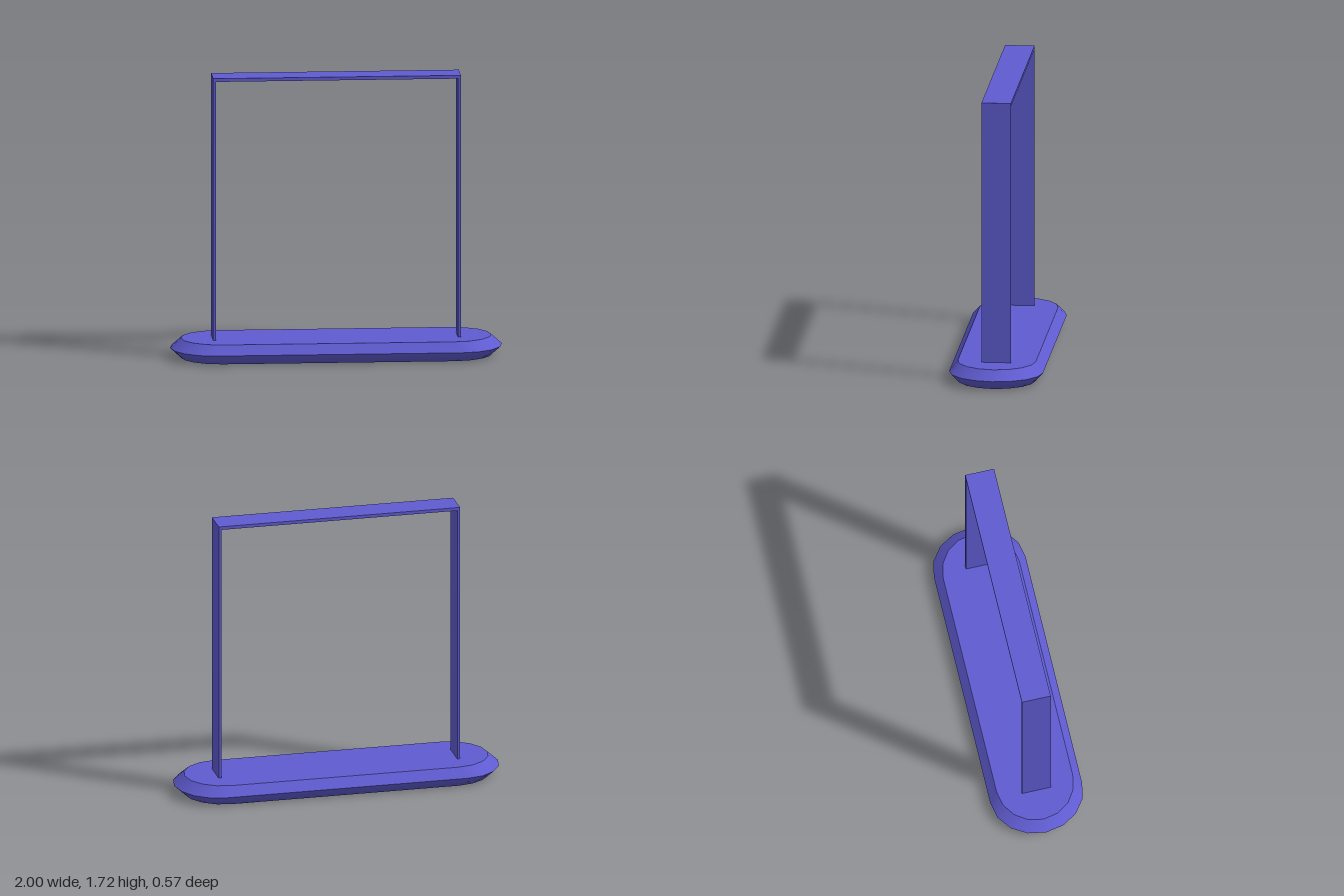
import * as THREE from 'three';

const material = new THREE.MeshStandardMaterial({ color: 0x5f5bd0 });

// Stadium-shaped ring: two half ellipses centred at x = +-cx
function ring(y, cx, rx, rz) {
  const points = [];
  for (const side of [0, 1]) {
    for (let i = 0; i <= 8; i++) {
      const a = -Math.PI / 2 + side * Math.PI + (i * Math.PI) / 8;
      points.push([(side ? -cx : cx) + rx * Math.cos(a), y, rz * Math.sin(a)]);
    }
  }
  return points;
}

// Smooth skin through rings ordered so that the surface faces outward
function skin(name, rings) {
  const n = rings[0].length;
  const index = [];
  for (let r = 0; r < rings.length - 1; r++) {
    for (let i = 0; i < n; i++) {
      const a = r * n + i;
      const b = r * n + ((i + 1) % n);
      index.push(a, a + n, b, b, a + n, b + n);
    }
  }
  const geometry = new THREE.BufferGeometry();
  geometry.setAttribute('position', new THREE.Float32BufferAttribute(rings.flat(2), 3));
  geometry.setIndex(index);
  geometry.computeVertexNormals();
  const mesh = new THREE.Mesh(geometry, material);
  mesh.name = name;
  return mesh;
}

export function createModel() {
  const group = new THREE.Group();
  group.name = 'standingFrame';

  // Base: soft underside, crisp waist and flat top
  const base = new THREE.Group();
  base.name = 'base';
  const waist = ring(0.06, 0.745, 0.255, 0.283);
  const topEdge = ring(0.118, 0.7, 0.235, 0.235);
  base.add(
    skin('baseUnderside', [ring(0, 0.7, 0, 0), ring(0, 0.7, 0.235, 0.235), waist]),
    skin('baseBevel', [waist, topEdge]),
    skin('baseTop', [topEdge, ring(0.118, 0.7, 0, 0)])
  );
  group.add(base);

  // Frame: two thin posts joined by a top bar, one continuous band
  const outer = 0.746, inner = 0.728, foot = 0.11, top = 1.72, under = 1.7;
  const outline = new THREE.Shape([
    [-outer, foot], [-inner, foot], [-inner, under], [inner, under],
    [inner, foot], [outer, foot], [outer, top], [-outer, top],
  ].map(([x, y]) => new THREE.Vector2(x, y)));
  const depth = 0.178;
  const geometry = new THREE.ExtrudeGeometry(outline, { depth, bevelEnabled: false });
  geometry.translate(0, 0, -depth / 2);
  const frame = new THREE.Mesh(geometry, material);
  frame.name = 'frame';
  group.add(frame);

  return group;
}
